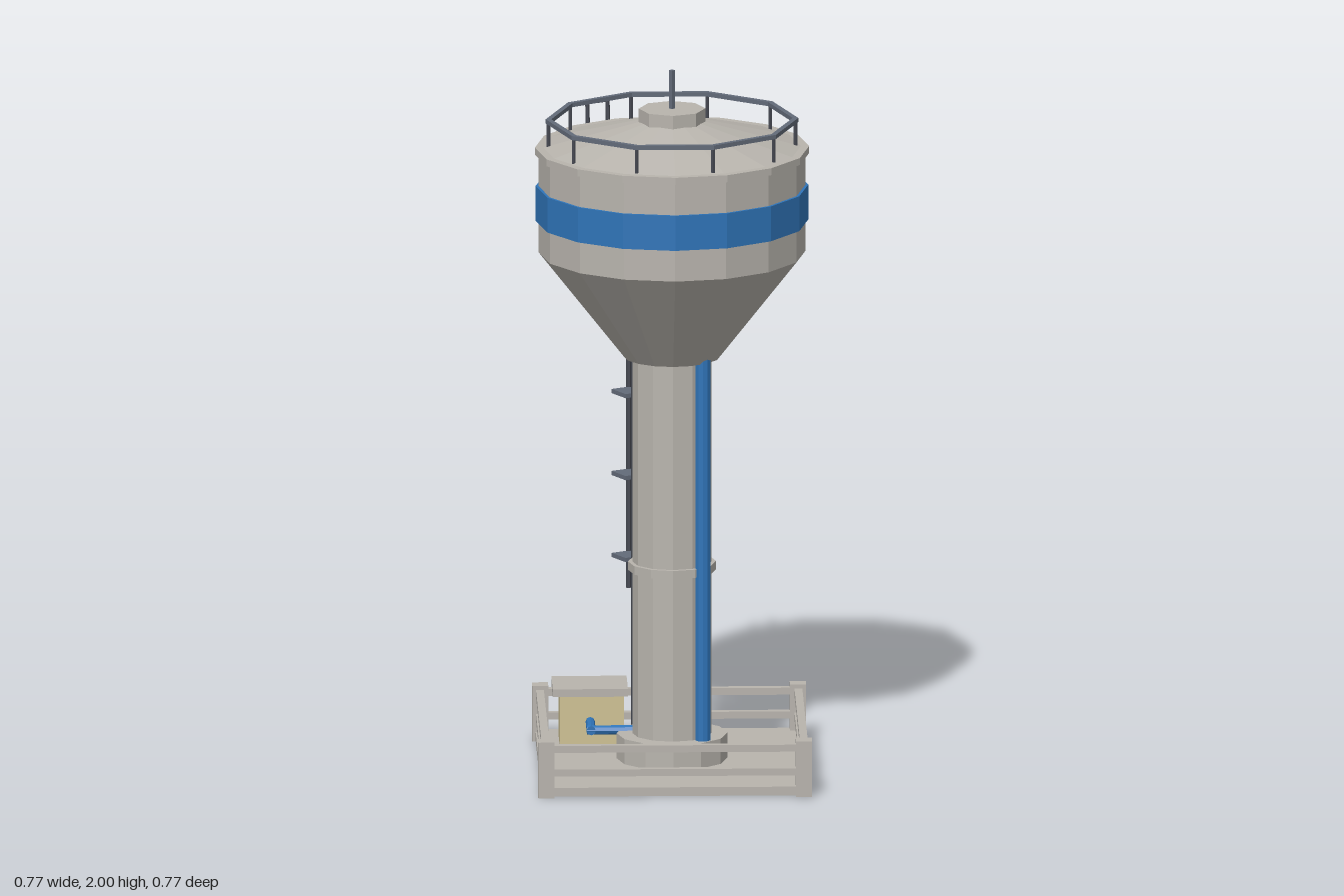
import * as THREE from 'three';

const mat = (name, color) => {
  const m = new THREE.MeshStandardMaterial({ color, flatShading: true });
  m.name = name;
  return m;
};

export function createModel() {
  const concrete = mat('concrete', 0xb8b4ad);
  const blue = mat('blue paint', 0x2f74b8);
  const steel = mat('steel', 0x636b79);
  const darkSteel = mat('dark steel', 0x454851);
  const beige = mat('beige wall', 0xcfc294);

  const model = new THREE.Group();
  model.name = 'waterTower';

  const add = (name, geo, m, x = 0, y = 0, z = 0, parent = model) => {
    const mesh = new THREE.Mesh(geo, m);
    mesh.name = name;
    mesh.position.set(x, y, z);
    parent.add(mesh);
    return mesh;
  };
  const box = (name, m, w, h, d, x, y, z, parent) =>
    add(name, new THREE.BoxGeometry(w, h, d), m, x, y, z, parent);
  // Vertical drum between two heights
  const drum = (name, m, rTop, rBottom, y0, y1, sides, x = 0, z = 0, parent) =>
    add(name, new THREE.CylinderGeometry(rTop, rBottom, y1 - y0, sides), m, x, (y0 + y1) / 2, z, parent);
  // Round bar between two points
  const bar = (name, m, a, b, r, sides = 6, parent = model) => {
    const p = new THREE.Vector3(...a), q = new THREE.Vector3(...b);
    const mesh = add(name, new THREE.CylinderGeometry(r, r, p.distanceTo(q), sides), m, 0, 0, 0, parent);
    mesh.position.copy(p).add(q).multiplyScalar(0.5);
    mesh.quaternion.setFromUnitVectors(new THREE.Vector3(0, 1, 0), q.sub(p).normalize());
    return mesh;
  };

  // Ground slab and fence
  box('slab', concrete, 0.746, 0.025, 0.726, 0, 0.0155, 0);
  const fence = new THREE.Group();
  fence.name = 'fence';
  model.add(fence);
  for (const s of [-1, 1]) {
    for (const t of [-1, 1]) box('fencePost', concrete, 0.045, 0.16, 0.045, s * 0.36, 0.08, t * 0.35, fence);
    for (const y of [0.07, 0.138]) {
      box('fenceRail', concrete, 0.68, 0.02, 0.022, 0, y, s * 0.351, fence);
      box('fenceRail', concrete, 0.022, 0.02, 0.66, s * 0.361, y, 0, fence);
    }
  }

  // Shaft
  drum('footing', concrete, 0.155, 0.155, 0.02, 0.1, 12);
  drum('shaft', concrete, 0.111, 0.111, 0.1, 1.2, 12);
  drum('shaftCollar', concrete, 0.123, 0.123, 0.568, 0.592, 12);

  // Tank
  drum('tankFunnel', concrete, 0.373, 0.135, 1.18, 1.48, 16);
  drum('tankWall', concrete, 0.373, 0.373, 1.48, 1.765, 16);
  drum('tankBand', blue, 0.381, 0.381, 1.57, 1.67, 16);
  drum('tankLip', concrete, 0.383, 0.383, 1.76, 1.78, 16);
  drum('roof', concrete, 0.08, 0.36, 1.78, 1.855, 16);
  drum('roofHatch', concrete, 0.093, 0.093, 1.845, 1.89, 8);
  drum('antenna', steel, 0.008, 0.008, 1.885, 2, 4);

  // Roof railing
  const railing = new THREE.Group();
  railing.name = 'roofRailing';
  model.add(railing);
  const R = 0.345, n = 10;
  for (let i = 0; i < n; i++) {
    const a = (i / n) * Math.PI * 2, mid = a + Math.PI / n;
    drum('railingPost', darkSteel, 0.006, 0.006, 1.775, 1.856, 6, R * Math.cos(a), R * Math.sin(a), railing);
    const rm = R * Math.cos(Math.PI / n);
    const rail = box('railingBar', steel, 0.015, 0.012, 2 * (R + 0.007) * Math.sin(Math.PI / n),
      rm * Math.cos(mid), 1.855, rm * Math.sin(mid), railing);
    rail.rotation.y = -mid;
  }

  // Riser pipe along the shaft and feed pipe from the hut
  drum('riserPipe', blue, 0.022, 0.022, 0.09, 1.22, 10, 0.084, 0.09);
  bar('feedPipe', blue, [-0.225, 0.1, -0.16], [-0.225, 0.1, -0.028], 0.013, 8);
  bar('feedPipe', blue, [-0.237, 0.1, -0.04], [-0.09, 0.1, -0.04], 0.013, 8);

  // Pump hut
  const hut = new THREE.Group();
  hut.name = 'pumpHut';
  model.add(hut);
  box('hutWalls', beige, 0.18, 0.15, 0.125, -0.22, 0.1, -0.207, hut);
  box('hutRoof', concrete, 0.21, 0.022, 0.165, -0.225, 0.186, -0.207, hut);
  box('hutDoorFrame', concrete, 0.08, 0.1, 0.006, -0.22, 0.085, -0.271, hut);
  box('hutDoor', darkSteel, 0.055, 0.085, 0.008, -0.22, 0.08, -0.272, hut);

  // Ladder, built facing +z and turned to its side of the tower
  const ladder = new THREE.Group();
  ladder.name = 'ladder';
  ladder.rotation.y = Math.PI + Math.PI / 6;
  model.add(ladder);
  const path = [[0.154, 0.025], [0.154, 1.18], [0.388, 1.48], [0.4, 1.83]];
  const half = 0.033;
  for (let i = 0; i < 3; i++) {
    const [z0, y0] = path[i], [z1, y1] = path[i + 1];
    for (const s of [-1, 1])
      bar('ladderRail', darkSteel, [s * half, y0, z0], [s * half, y1, z1], 0.006, 6, ladder);
    const count = Math.round(Math.hypot(z1 - z0, y1 - y0) / 0.08);
    for (let k = 1; k <= count; k++) {
      const t = k / count, y = y0 + (y1 - y0) * t, z = z0 + (z1 - z0) * t;
      bar('ladderRung', darkSteel, [-half, y, z], [half, y, z], 0.0045, 5, ladder);
    }
  }

  // Rest platforms and their outer guard bar
  for (const y of [0.57, 0.805, 1.04]) box('restPlatform', steel, 0.11, 0.012, 0.075, 0, y, 0.196, ladder);
  bar('guardBar', darkSteel, [0, 0.47, 0.233], [0, 1.18, 0.233], 0.007, 6, ladder);

  return model;
}
